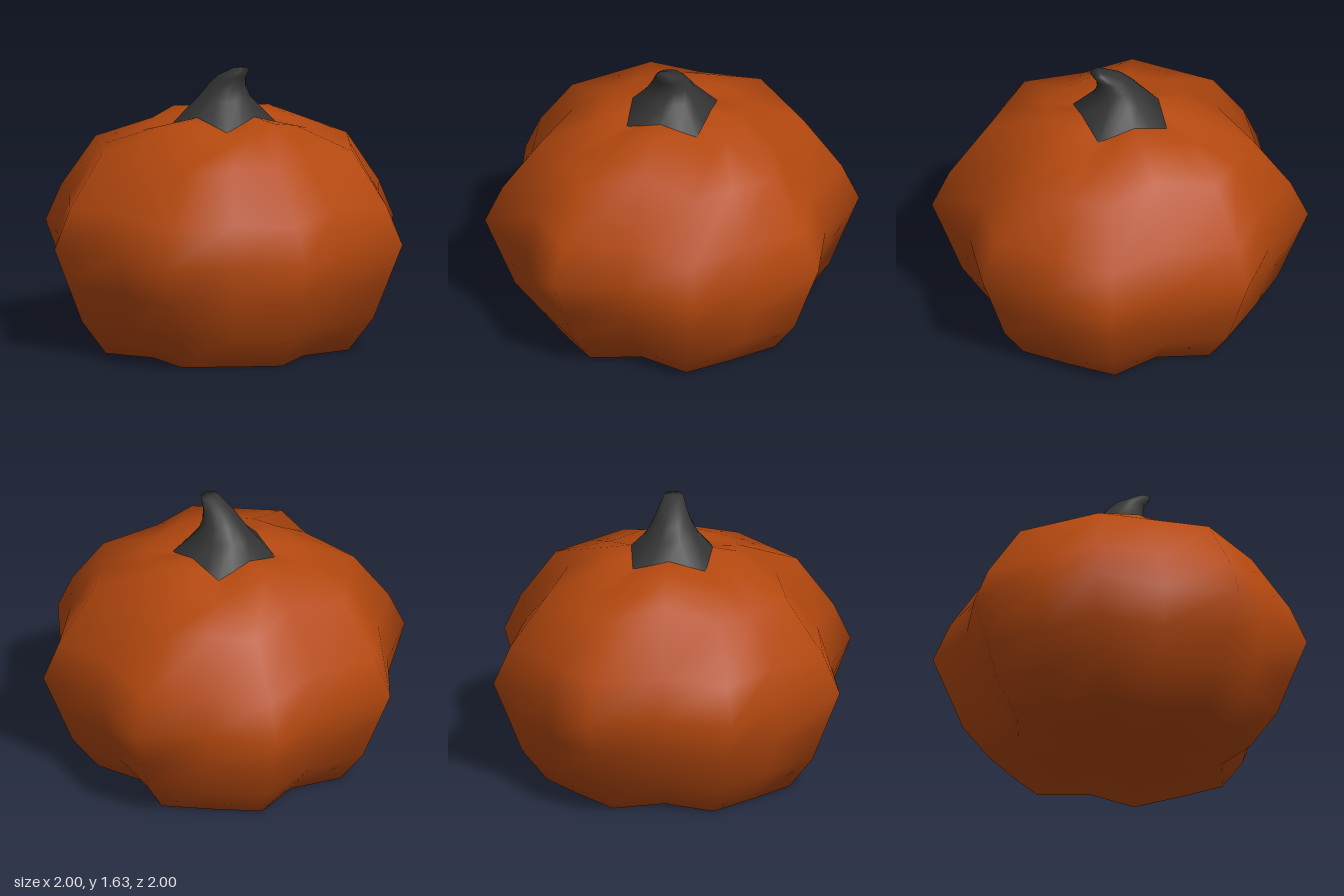
import * as THREE from 'three';

const SIDES = 16;

// Skin a stack of closed rings (bottom to top), with optional end caps
function loft(rings, capBottom, capTop) {
  const pos = rings.flat(2), index = [];
  const at = (i, j) => i * SIDES + (j % SIDES);
  for (let i = 0; i < rings.length - 1; i++) {
    for (let j = 0; j < SIDES; j++) {
      const a = at(i, j), b = at(i, j + 1), c = at(i + 1, j + 1), d = at(i + 1, j);
      index.push(a, b, c, a, c, d);
    }
  }
  const cap = (i, centre, up) => {
    const c = pos.length / 3;
    pos.push(...centre);
    for (let j = 0; j < SIDES; j++) {
      if (up) index.push(c, at(i, j), at(i, j + 1));
      else index.push(c, at(i, j + 1), at(i, j));
    }
  };
  if (capBottom) cap(0, capBottom, false);
  if (capTop) cap(rings.length - 1, capTop, true);
  const geo = new THREE.BufferGeometry();
  geo.setAttribute('position', new THREE.Float32BufferAttribute(pos, 3));
  geo.setIndex(index);
  geo.computeVertexNormals();
  return geo;
}

// Eight-lobed ring: groove on each axis, ridge beside it, shallow groove on the diagonal
function lobedRing([axis, axisY, ridgeU, ridgeV, ridgeY, diag, diagY]) {
  const ring = [];
  for (let q = 0; q < 4; q++) {
    const pts = [[0, axisY, axis], [ridgeV, ridgeY, ridgeU], [diag, diagY, diag], [ridgeU, ridgeY, ridgeV]];
    for (let [x, y, z] of pts) {
      for (let k = 0; k < q; k++) [x, z] = [z, -x];
      ring.push([x, y, z]);
    }
  }
  return ring;
}

// Oval ring of the stem, shifted sideways
function ovalRing([y, x0, x1, rz]) {
  return Array.from({ length: SIDES }, (_, j) => {
    const a = (j / SIDES) * Math.PI * 2;
    return [(x0 + x1) / 2 + ((x1 - x0) / 2) * Math.sin(a), y, rz * Math.cos(a)];
  });
}

export function createModel() {
  const orange = new THREE.MeshStandardMaterial({ color: 0xb4480f });
  orange.name = 'pumpkinOrange';
  const charcoal = new THREE.MeshStandardMaterial({ color: 0x343434 });
  charcoal.name = 'stemCharcoal';

  const model = new THREE.Group();
  model.name = 'pumpkin';

  // Ribbed body: groove radius, y, ridge point and y, diagonal point and y
  const collar = [0.235, 1.355, 0.222, 0.11, 1.32, 0.21, 1.29];
  const body = new THREE.Mesh(loft([
    [0.61, 0, 0.70, 0.29, 0, 0.50, 0],
    [0.77, 0.2, 0.84, 0.35, 0.2, 0.60, 0.2],
    [0.86, 0.41, 0.915, 0.385, 0.41, 0.645, 0.41],
    [0.92, 0.64, 1.0, 0.42, 0.64, 0.67, 0.64],
    [0.84, 0.88, 0.905, 0.39, 0.86, 0.63, 0.87],
    [0.60, 1.21, 0.695, 0.33, 1.165, 0.512, 1.165],
    [0.385, 1.335, 0.38, 0.19, 1.295, 0.34, 1.25],
    collar,
  ].map(lobedRing), [0, 0, 0], null), orange);
  body.name = 'body';
  model.add(body);

  // Curled stem flaring onto the body: y, left x, right x, half depth
  const stem = new THREE.Mesh(loft([
    lobedRing(collar),
    ...[
      [1.44, -0.155, 0.155, 0.15],
      [1.51, -0.095, 0.135, 0.11],
      [1.57, -0.03, 0.143, 0.083],
      [1.625, 0.08, 0.18, 0.055],
    ].map(ovalRing),
  ], null, [0.13, 1.627, 0]), charcoal);
  stem.name = 'stem';
  model.add(stem);

  return model;
}
